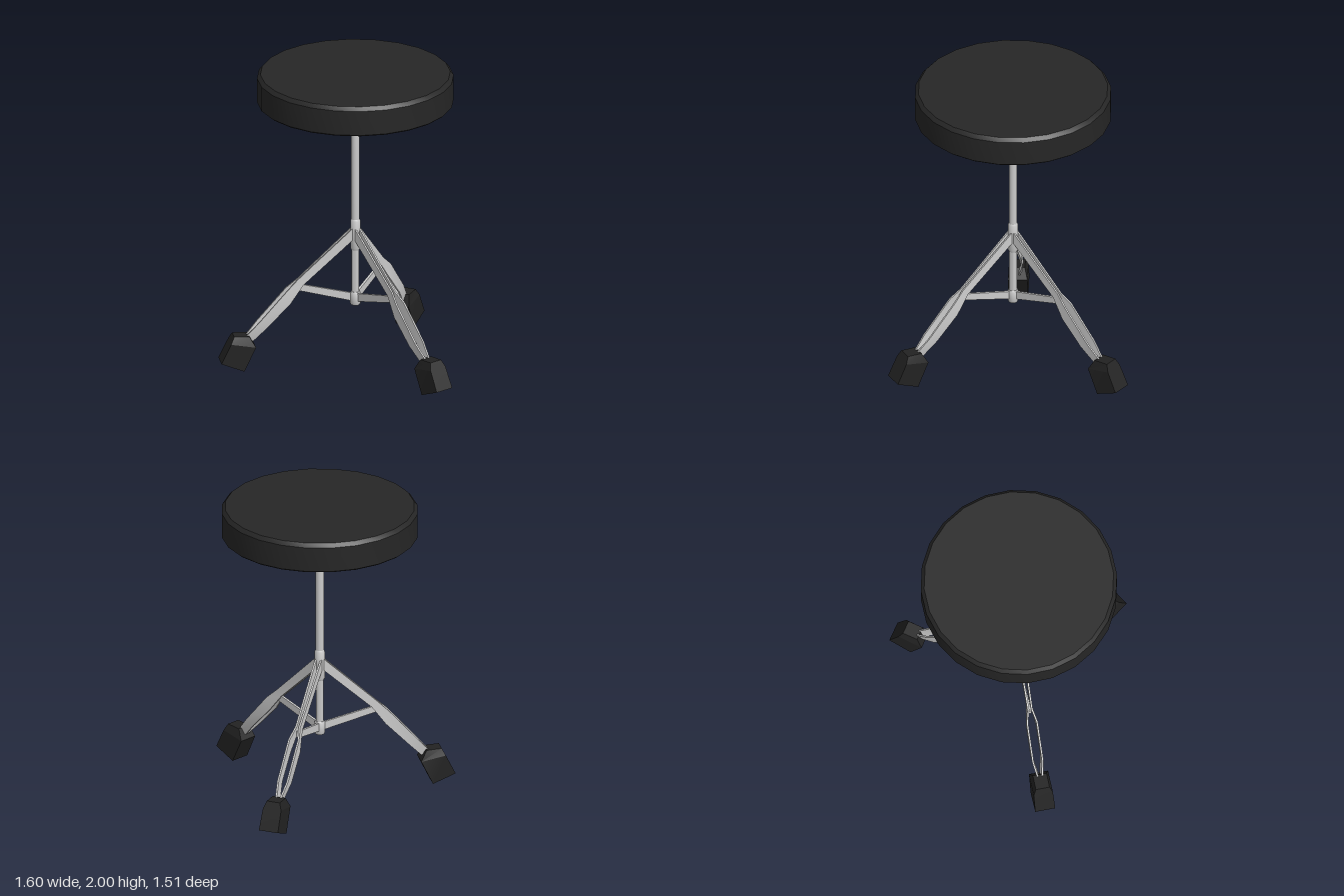
import * as THREE from 'three';
import { toCreasedNormals } from 'three/addons/utils/BufferGeometryUtils.js';

const AXIS = [0.045, 0.11]; // x and z of the central post
const metal = new THREE.MeshStandardMaterial({ color: 0xcccccc });
const vinyl = new THREE.MeshStandardMaterial({ color: 0x262626 });
const rubber = new THREE.MeshStandardMaterial({ color: 0x222222 });

function add(parent, name, geometry, material) {
  const mesh = new THREE.Mesh(geometry, material);
  mesh.name = name;
  parent.add(mesh);
  return mesh;
}

function lathe(points, segments) {
  const profile = points.map(([r, y]) => new THREE.Vector2(r, y));
  return toCreasedNormals(new THREE.LatheGeometry(profile, segments), 0.6);
}

// Rectangular loft; each station is [upperX, upperY, lowerX, lowerY, zCentre, zHalf]
function loft(stations) {
  const pos = [], idx = [];
  for (const [ux, uy, lx, ly, z, h] of stations) {
    pos.push(ux, uy, z + h, ux, uy, z - h, lx, ly, z - h, lx, ly, z + h);
  }
  const last = (stations.length - 1) * 4;
  for (let s = 0; s < last; s += 4) {
    for (let i = 0; i < 4; i++) {
      const a = s + i, b = s + (i + 1) % 4;
      idx.push(a, a + 4, b, b, a + 4, b + 4);
    }
  }
  idx.push(0, 1, 2, 0, 2, 3, last, last + 2, last + 1, last, last + 3, last + 2);
  const g = new THREE.BufferGeometry();
  g.setAttribute('position', new THREE.Float32BufferAttribute(pos, 3));
  g.setIndex(idx);
  return toCreasedNormals(g, 0.25);
}

// One leg in its own radial plane: +x outward, y up
function createLeg() {
  const leg = new THREE.Group();
  leg.name = 'leg';
  const t = 0.006;

  // Pair of flat bars that run together, flare apart and close at the foot
  for (const side of [1, -1]) {
    add(leg, 'legBar', loft([
      [0, 0.95, 0, 0.87, side * 0.018, t],
      [0.38, 0.595, 0.34, 0.56, side * 0.012, t],
      [0.45, 0.53, 0.43, 0.44, side * 0.032, t],
      [0.64, 0.315, 0.58, 0.285, side * 0.032, t],
      [0.74, 0.2, 0.67, 0.19, side * 0.01, t],
    ]), metal);
  }

  // Stay from the lower collar out to the bars
  add(leg, 'stay', loft([
    [0, 0.475, 0, 0.42, 0, 0.008],
    [0.38, 0.565, 0.38, 0.52, 0, 0.008],
  ]), metal);

  // Tapered rubber foot resting on its inner edge
  add(leg, 'foot', loft([
    [0.8, 0.235, 0.7, 0.23, 0, 0.045],
    [0.823, 0.19, 0.66, 0.16, 0, 0.063],
    [0.887, 0.06, 0.737, 0, 0, 0.066],
  ]), rubber);
  return leg;
}

export function createModel() {
  const model = new THREE.Group();
  model.name = 'stool';
  const body = new THREE.Group();
  body.name = 'body';
  body.position.set(AXIS[0], 0, AXIS[1]);
  model.add(body);

  // Round cushion with a shallow hollow underneath
  add(body, 'seat', lathe([
    [0, 1.86], [0.25, 1.855], [0.4, 1.835], [0.46, 1.8], [0.625, 1.8],
    [0.637, 1.81], [0.637, 1.975], [0.615, 2], [0, 2],
  ], 24), vinyl);

  // Telescoping post
  add(body, 'post', lathe([
    [0, 0.43], [0.025, 0.43], [0.025, 0.9], [0.027, 0.9], [0.027, 1.86], [0, 1.86],
  ], 16), metal);

  // Collars: [bottom, top, radius]
  const collars = { lowerCollar: [0.4, 0.49, 0.035], legCollar: [0.78, 0.99, 0.033], seatCollar: [1.72, 1.86, 0.032] };
  for (const [name, [y0, y1, r]] of Object.entries(collars)) {
    add(body, name, lathe([
      [0, y0], [r - 0.006, y0], [r, y0 + 0.012], [r, y1 - 0.012], [r - 0.006, y1], [0, y1],
    ], 16), metal);
  }

  // Three legs, bearing measured from the back towards +x
  for (const bearing of [14, 127.5, 249]) {
    const leg = createLeg();
    leg.rotation.y = THREE.MathUtils.degToRad(90 - bearing);
    body.add(leg);
  }
  return model;
}
